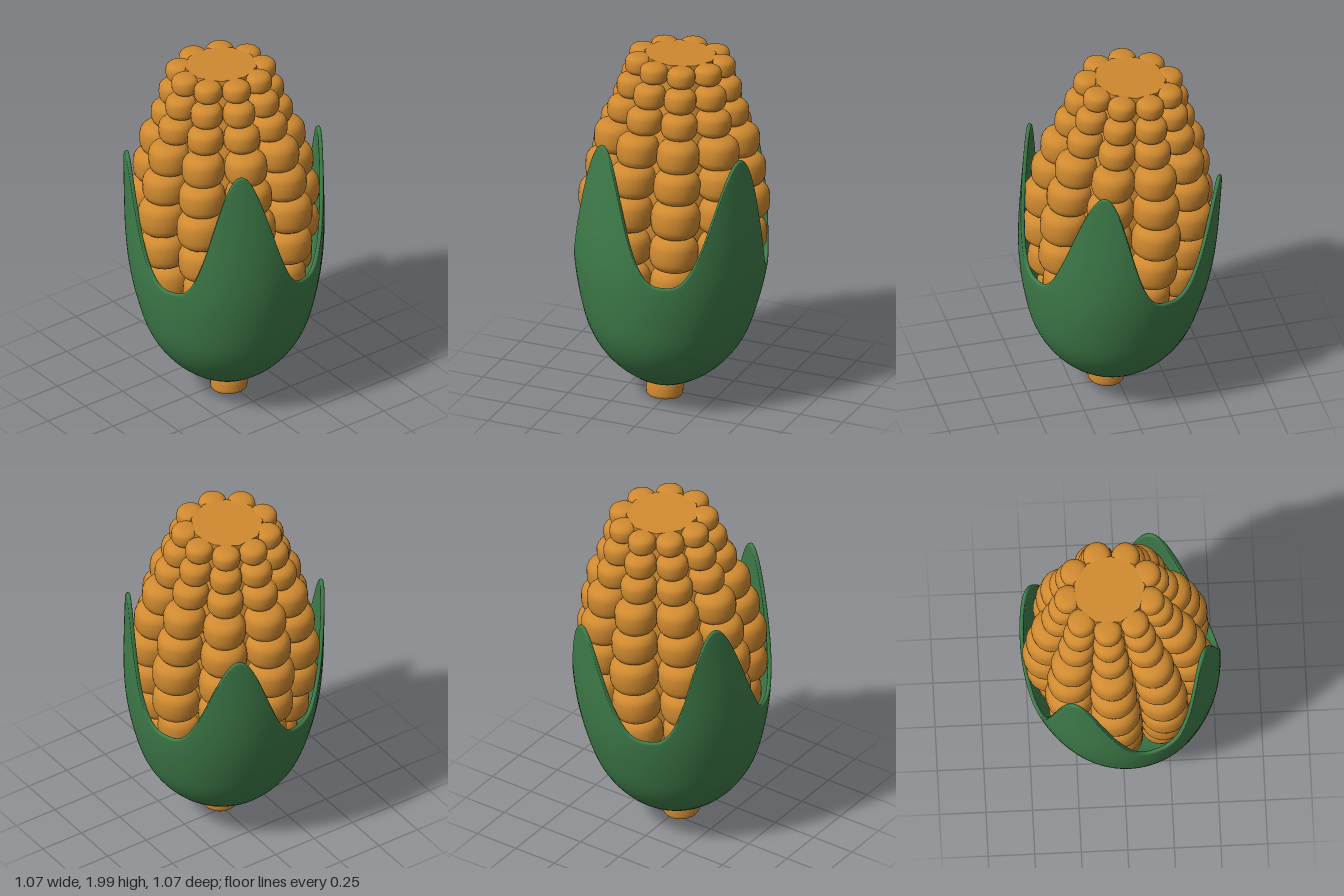
import * as THREE from 'three';

const orange = new THREE.MeshStandardMaterial({ color: 0xd08a30 });
const green = new THREE.MeshStandardMaterial({ color: 0x3f7d4a, side: THREE.DoubleSide });
const COLUMNS = 9;

// Rows of kernels: [height, half height, outer radius]
const ROWS = [
  [1.93, 0.056, 0.30], [1.807, 0.068, 0.34], [1.675, 0.074, 0.385],
  [1.52, 0.094, 0.45], [1.357, 0.097, 0.49], [1.18, 0.107, 0.52],
  [0.985, 0.104, 0.513], [0.79, 0.1, 0.47], [0.6, 0.09, 0.41],
];

const lathe = (points, segments) =>
  new THREE.LatheGeometry(points.map(([r, y]) => new THREE.Vector2(r, y)), segments);

// Ball squared off towards a rounded pillow, flatter above and below
function kernelGeometry() {
  const geo = new THREE.SphereGeometry(1, 24, 14);
  const pos = geo.attributes.position;
  const soften = (v) => Math.sign(v) * Math.abs(v) ** 0.68;
  for (let i = 0; i < pos.count; i++) {
    const x = pos.getX(i), y = pos.getY(i), z = pos.getZ(i);
    const r = Math.hypot(x, z);
    const k = r > 1e-6 ? soften(r) / r : 0;
    pos.setXYZ(i, x * k, soften(y), z * k);
  }
  geo.computeVertexNormals();
  return geo;
}

// Cup with four pointed leaves; each ring follows the leaf outline
function huskGeometry() {
  const profile = new THREE.CatmullRomCurve3([
    [0.03, 0.085], [0.12, 0.107], [0.25, 0.185], [0.35, 0.285], [0.425, 0.41], [0.483, 0.6],
    [0.52, 0.8], [0.535, 1], [0.537, 1.2], [0.536, 1.4], [0.534, 1.6],
  ].map(([r, y]) => new THREE.Vector3(r, y, 0))).getSpacedPoints(100);
  const radiusAt = (y) => {
    const i = Math.max(1, profile.findIndex((p) => p.y >= y));
    const a = profile[i - 1], b = profile[i];
    return THREE.MathUtils.lerp(a.x, b.x, THREE.MathUtils.clamp((y - a.y) / (b.y - a.y), 0, 1));
  };
  const tips = [1.525, 1.555, 1.505, 1.43];
  const around = 144, steps = 28, thick = 0.022, bottom = 0.085, valley = 0.81;

  // Section stations: [fraction up the wall, inward offset, rise above the rim]
  const stations = [];
  for (let i = 0; i <= steps; i++) stations.push([(i / steps) ** 1.3, 0, 0]);
  for (let i = 1; i < 6; i++) {
    const a = (i / 6) * Math.PI;
    stations.push([1, thick * (1 - Math.cos(a)) / 2, 0.014 * Math.sin(a)]);
  }
  for (let i = steps; i >= 0; i--) stations.push([(i / steps) ** 1.3, thick, 0]);

  const positions = [], index = [];
  const n = stations.length;
  for (let j = 0; j < around; j++) {
    const deg = (j / around) * 360;
    const q = (deg - 26 + 405) / 90;
    const u = Math.abs((q % 1) - 0.5) * 2;
    const lift = ((1 + Math.cos(Math.PI * u)) / 2) ** 1.55;
    const rim = valley + (tips[Math.floor(q) % 4] - valley) * lift;
    const a = THREE.MathUtils.degToRad(deg);
    for (const [s, inset, rise] of stations) {
      const y = bottom + (rim - bottom) * s;
      const r = Math.max(0, radiusAt(y) - inset);
      positions.push(r * Math.cos(a), y + rise + (s < 0.5 ? inset * (1 - 2 * s) : 0), r * Math.sin(a));
    }
    for (let i = 0; i < n - 1; i++) {
      const p = j * n + i, o = ((j + 1) % around) * n + i;
      index.push(p, p + 1, o, o, p + 1, o + 1);
    }
  }
  const geo = new THREE.BufferGeometry();
  geo.setAttribute('position', new THREE.Float32BufferAttribute(positions, 3));
  geo.setIndex(index);
  geo.computeVertexNormals();
  return geo;
}

export function createModel() {
  const model = new THREE.Group();
  model.name = 'cornCob';
  const add = (name, geo, material, parent = model) => {
    const mesh = new THREE.Mesh(geo, material);
    mesh.name = name;
    parent.add(mesh);
    return mesh;
  };

  // Core under the kernels, with a flat nine-sided top
  const core = add('core', lathe([
    [0, 0.15], [0.2, 0.3], [0.3, 0.6], [0.36, 0.95], [0.36, 1.18], [0.34, 1.36],
    [0.3, 1.52], [0.25, 1.68], [0.215, 1.82], [0.2, 1.93], [0.195, 1.982],
  ], COLUMNS), orange);
  const top = add('coreTop', new THREE.CircleGeometry(0.195, COLUMNS), orange);
  top.position.y = 1.982;
  // Corners of the core sit in the gaps between the columns
  core.rotation.y = THREE.MathUtils.degToRad(45);
  top.rotation.set(-Math.PI / 2, 0, THREE.MathUtils.degToRad(-45));

  // Kernels
  const kernels = new THREE.Group();
  kernels.name = 'kernels';
  model.add(kernels);
  const kernel = kernelGeometry();
  const half = Math.sin(Math.PI / COLUMNS);
  for (const [y, height, outer] of ROWS) {
    const r = outer / (1 + half);
    const w = r * half * 1.01;
    for (let i = 0; i < COLUMNS; i++) {
      const a = THREE.MathUtils.degToRad(25) + (i / COLUMNS) * Math.PI * 2;
      const mesh = add('kernel', kernel, orange, kernels);
      mesh.position.set(r * Math.cos(a), y, r * Math.sin(a));
      mesh.rotation.y = -a;
      mesh.scale.set(w, height, w);
    }
  }

  add('husk', huskGeometry(), green);

  // Stalk with softened lower edge
  add('stalkSide', lathe([
    [0.085, 0.012], [0.093, 0.015], [0.098, 0.022], [0.1, 0.035], [0.1, 0.085], [0.09, 0.12],
  ], 28), orange);
  const base = add('stalkBase', new THREE.CircleGeometry(0.085, 28), orange);
  base.rotation.x = Math.PI / 2;
  base.position.y = 0.012;

  // The whole cob leans slightly back
  model.rotation.set(-0.063, 0, -0.02);
  model.position.set(-0.02, 0, 0.06);
  const root = new THREE.Group();
  root.name = 'corn';
  root.add(model);
  return root;
}
